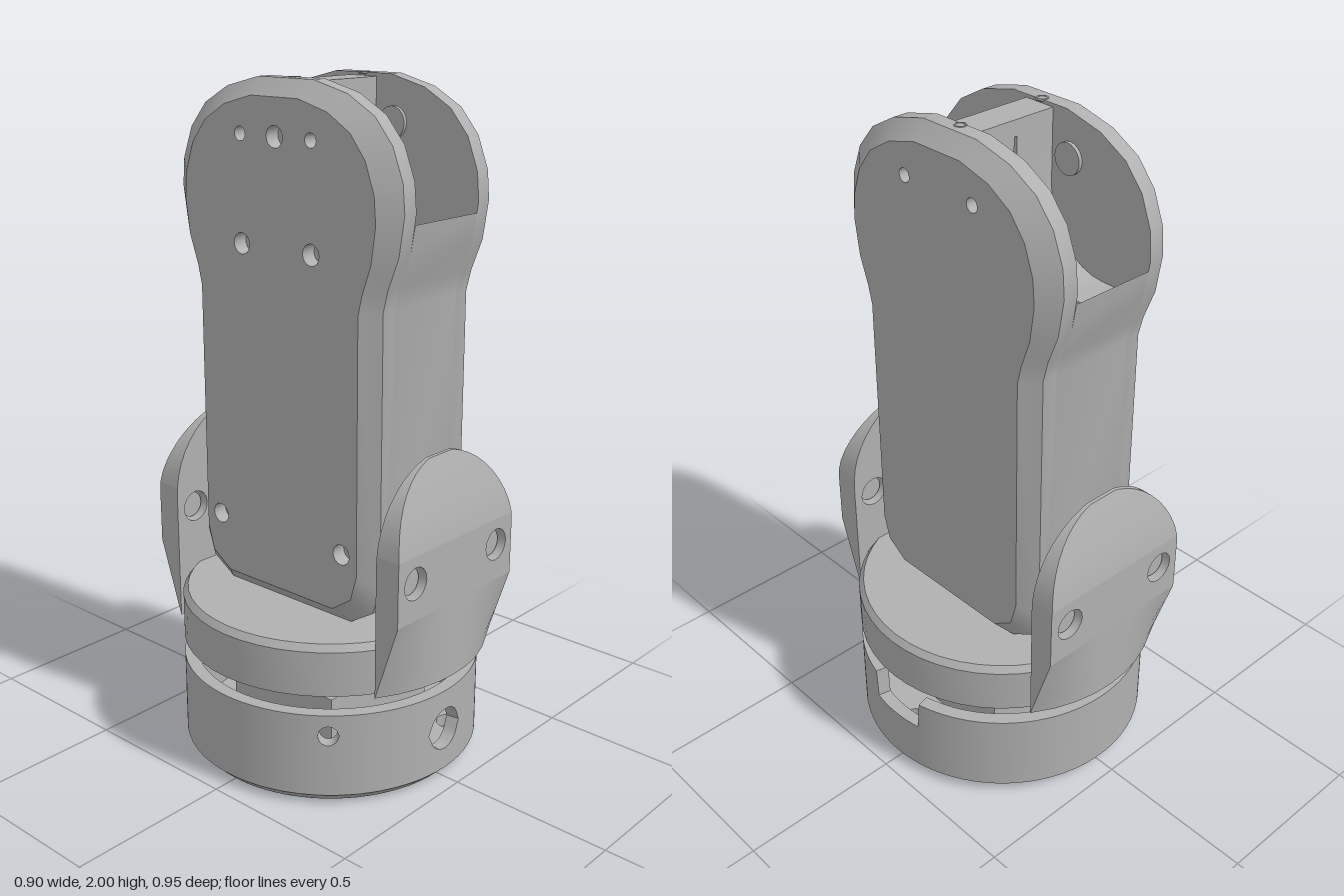
import * as THREE from 'three';
import { toCreasedNormals } from 'three/addons/utils/BufferGeometryUtils.js';

const grey = new THREE.MeshStandardMaterial({ color: 0xb0b0b0, side: THREE.DoubleSide });
grey.name = 'plain grey';

function add(parent, name, geometry, crease = 0.5) {
  const mesh = new THREE.Mesh(toCreasedNormals(geometry, crease), grey);
  mesh.name = name;
  parent.add(mesh);
  return mesh;
}

// geometry from a list of four-cornered faces
function fromQuads(quads) {
  const pos = [];
  for (const [a, b, c, d] of quads) for (const p of [a, b, c, a, c, d]) pos.push(...p);
  const g = new THREE.BufferGeometry();
  g.setAttribute('position', new THREE.Float32BufferAttribute(pos, 3));
  g.computeVertexNormals();
  return g;
}

// shape from points, with round holes given as [x, y, radius]
function shapeOf(points, holes = []) {
  const s = new THREE.Shape(points.map(([x, y]) => new THREE.Vector2(x, y)));
  for (const [x, y, r] of holes) s.holes.push(new THREE.Path().absarc(x, y, r, 0, Math.PI * 2, true));
  return s;
}

const mirror = (half) => [...half, ...half.slice().reverse().map(([x, y]) => [-x, y])];
const flat = (shape, depth) =>
  new THREE.ExtrudeGeometry(shape, { depth, bevelEnabled: false, curveSegments: 8 });
// side profile (z, y) extruded along x from x0
const sideways = (g, x0) => g.rotateY(Math.PI / 2).translate(x0, 0, 0);

// arm outline, half of it, in z and y
const LOWER = [[0.24, 0.5], [0.32, 0.55], [0.345, 0.63], [0.345, 1.42], [0.36, 1.48], [0.395, 1.57]];
const UPPER = [[0.412, 1.68], [0.405, 1.76], [0.37, 1.85], [0.31, 1.92], [0.22, 1.97], [0.1, 2.0]];

function buildBase() {
  const base = new THREE.Group();
  base.name = 'base';
  const R = 0.45, RI = 0.41, Y0 = 0.03, Y1 = 0.285, N = 360;
  const holes = [[0, 0.16, 0.065], [-0.856, 0.22, 0.03], [-2.286, 0.22, 0.03]];
  const at = (r, t, y) => [r * Math.sin(t), y, r * Math.cos(t)];

  // lower and upper edge of the opening in the wall at an angle
  const opening = (t) => {
    if (Math.abs(t - Math.PI / 2) < 0.1 / R) return [0.19, Y1];
    for (const [a, y, r] of holes) {
      const d = Math.abs(t - a) * R;
      if (d < r) return [y - Math.sqrt(r * r - d * d), y + Math.sqrt(r * r - d * d)];
      if (d < r + 0.02) return [y, y];
    }
    return Math.abs(t - Math.PI / 2) < 0.3 ? [Y1, Y1] : [0.16, 0.16];
  };
  const quads = [];
  for (let i = 0; i < N; i++) {
    const t0 = -Math.PI + (i / N) * 2 * Math.PI, t1 = t0 + (2 * Math.PI) / N;
    const [l0, h0] = opening(t0), [l1, h1] = opening(t1);
    for (const [a0, a1, b0, b1] of [[Y0, Y0, l0, l1], [h0, h1, Y1, Y1]]) {
      if (b0 - a0 < 1e-5 && b1 - a1 < 1e-5) continue;
      const o = [at(R, t0, a0), at(R, t1, a1), at(R, t1, b1), at(R, t0, b0)];
      const n = [at(RI, t0, a0), at(RI, t1, a1), at(RI, t1, b1), at(RI, t0, b0)];
      quads.push(o, [n[1], n[0], n[3], n[2]], [o[3], o[2], n[2], n[3]], [o[1], o[0], n[0], n[1]]);
    }
  }
  add(base, 'baseWall', fromQuads(quads));

  const rim = [[0.42, 0], [R, Y0]].map((p) => new THREE.Vector2(...p));
  add(base, 'baseChamfer', new THREE.LatheGeometry(rim, 48));

  // floor with five mounting holes
  const feet = [[0.33, 0.06], [0.23, -0.18], [-0.23, -0.22], [-0.26, 0.26], [0.21, 0.31]];
  const floor = new THREE.Shape().absarc(0, 0, 0.42, 0, Math.PI * 2);
  for (const [x, z] of feet)
    floor.holes.push(new THREE.Path().absarc(x, -z, 0.042, 0, Math.PI * 2, true));
  const floorGeometry = new THREE.ExtrudeGeometry(floor, { depth: 0.04, bevelEnabled: false, curveSegments: 48 });
  add(base, 'baseFloor', floorGeometry.rotateX(-Math.PI / 2));
  add(base, 'baseMotor', new THREE.BoxGeometry(0.44, 0.21, 0.4).translate(0, 0.145, 0));
  return base;
}

function buildTurntable() {
  const table = new THREE.Group();
  table.name = 'turntable';
  const profile = [[0, 0.42], [0.35, 0.42], [0.35, 0.345], [0.45, 0.345], [0.45, 0.48], [0.435, 0.5], [0, 0.5]];
  add(table, 'turntableDisc', new THREE.LatheGeometry(profile.map((p) => new THREE.Vector2(...p)), 48));
  add(table, 'turntableHub', new THREE.CylinderGeometry(0.15, 0.15, 0.08, 24).translate(0, 0.387, 0));

  // uprights: round like the disc at the foot, flat in the middle, thin and round at the top
  const ZI = 0.397, ZO = 0.475, FOOT = 0.345, FLAT = 0.58, SPLIT = 0.77, SPANS = 8;
  const width = (y) => (y < 0.74 ? 0.26 : 0.26 * Math.sqrt(Math.max(0, 1 - ((y - 0.74) / 0.265) ** 2)));
  const outerZ = (x, y) => {
    if (y > SPLIT) return ZO - 0.067 * ((y - SPLIT) / 0.23) ** 1.3;
    const round = Math.sqrt(ZO * ZO - x * x);
    return round + (ZO - round) * Math.min(1, (y - FOOT) / (FLAT - FOOT));
  };
  const loft = (heights) => {
    const quads = [];
    const rows = heights.map((y) => {
      const xs = Array.from({ length: SPANS + 1 }, (_, i) => width(y) * ((2 * i) / SPANS - 1));
      return { outer: xs.map((x) => [x, y, outerZ(x, y)]), inner: xs.map((x) => [x, y, ZI]) };
    });
    const first = rows[0], last = rows[rows.length - 1];
    for (let i = 0; i < SPANS; i++) {
      quads.push([first.inner[i], first.inner[i + 1], first.outer[i + 1], first.outer[i]]);
      quads.push([last.outer[i], last.outer[i + 1], last.inner[i + 1], last.inner[i]]);
    }
    for (let s = 0; s + 1 < rows.length; s++) {
      const lo = rows[s], hi = rows[s + 1];
      for (let i = 0; i < SPANS; i++) {
        quads.push([lo.outer[i], lo.outer[i + 1], hi.outer[i + 1], hi.outer[i]]);
        quads.push([lo.inner[i + 1], lo.inner[i], hi.inner[i], hi.inner[i + 1]]);
      }
      quads.push([lo.outer[SPANS], lo.inner[SPANS], hi.inner[SPANS], hi.outer[SPANS]]);
      quads.push([lo.inner[0], lo.outer[0], hi.outer[0], hi.inner[0]]);
    }
    return fromQuads(quads);
  };
  const topHeights = Array.from({ length: 11 }, (_, k) => SPLIT + 0.23 * Math.sin((k / 10) * Math.PI / 2));

  for (const turn of [0, Math.PI]) {
    const upright = new THREE.Group();
    upright.name = turn ? 'backUpright' : 'frontUpright';
    add(upright, 'uprightFoot', loft([FOOT, 0.4, 0.46, 0.52, FLAT]));
    const bolts = [[0.185, 0.69, 0.048], [-0.185, 0.69, 0.048]];
    const outline = mirror([[0.26, FLAT], [0.26, 0.74], [width(SPLIT), SPLIT]]);
    add(upright, 'uprightMiddle', flat(shapeOf(outline, bolts), ZO - ZI).translate(0, 0, ZI));
    add(upright, 'uprightTop', loft(topHeights));
    for (const [x, y] of bolts)
      add(upright, 'uprightBolt', new THREE.CylinderGeometry(0.04, 0.04, 0.035, 16).rotateX(Math.PI / 2).translate(x, y, 0.435));
    upright.rotation.y = turn;
    table.add(upright);
  }
  return table;
}

function buildArm() {
  const arm = new THREE.Group();
  arm.name = 'arm';
  const full = mirror([...LOWER, ...UPPER]);
  const inset = full.map(([z, y]) => [z * 0.86, 1.248 + (y - 1.248) * 0.938]);
  const INNER = 0.133, EDGE = 0.18, FACE = 0.225;

  // side shells: a plate, a chamfer and an outer face with screw holes
  for (const turn of [0, Math.PI]) {
    const side = new THREE.Group();
    side.name = turn ? 'rightSide' : 'leftSide';
    add(side, 'sidePlate', sideways(flat(shapeOf(full), EDGE - INNER), INNER));
    const chamfer = full.map(([z, y], i) => {
      const j = (i + 1) % full.length;
      const [z2, y2] = full[j];
      return [[EDGE, y, -z], [EDGE, y2, -z2], [FACE, inset[j][1], -inset[j][0]], [FACE, inset[i][1], -inset[i][0]]];
    });
    add(side, 'sideChamfer', fromQuads(chamfer));

    const holes = [[0.13, 1.85, 0.02], [-0.13, 1.85, 0.02]];
    if (turn) holes.push([0, 1.85, 0.03], [0.13, 1.55, 0.03], [-0.13, 1.55, 0.03], [0.24, 0.72, 0.03], [-0.24, 0.72, 0.03]);
    add(side, 'sideFace', sideways(flat(shapeOf(inset, holes), FACE - EDGE), EDGE));

    // joint bosses inside the head and a screw on top
    for (const z of [-0.115, 0.115])
      add(side, 'headBoss', new THREE.CylinderGeometry(0.045, 0.045, 0.012, 20).rotateZ(Math.PI / 2).translate(INNER - 0.005, 1.87, z));
    add(side, 'topScrew', new THREE.TorusGeometry(0.015, 0.004, 6, 16).rotateX(Math.PI / 2).translate(0.143, 1.998, 0));
    side.rotation.y = turn;
    arm.add(side);
  }

  // middle of the arm, with a lip that slopes down into the head opening
  const core = mirror([...LOWER, [0.409, 1.65], [0.32, 1.56], [0.32, 1.5]]);
  add(arm, 'armCore', sideways(flat(shapeOf(core), 2 * INNER), -INNER));

  // hollow-sided column in the head, split down the middle, and the bridge over it
  const curve = [[0.32, 1.5], [0.32, 1.56]];
  for (let i = 0; i <= 8; i++) {
    const a = (i / 8) * Math.PI / 2;
    curve.push([0.25 - 0.2 * Math.sin(a), 1.78 - 0.22 * Math.cos(a)]);
  }
  curve.push([0.05, 1.95]);
  for (const x of [-INNER, 0.005])
    add(arm, 'headColumn', sideways(flat(shapeOf(mirror(curve)), 0.128), x));
  add(arm, 'headBridge', new THREE.BoxGeometry(2 * INNER, 0.045, 0.1).translate(0, 1.968, 0));
  return arm;
}

export function createModel() {
  const model = new THREE.Group();
  model.name = 'robotArmJoint';
  model.add(buildBase(), buildTurntable(), buildArm());
  return model;
}
